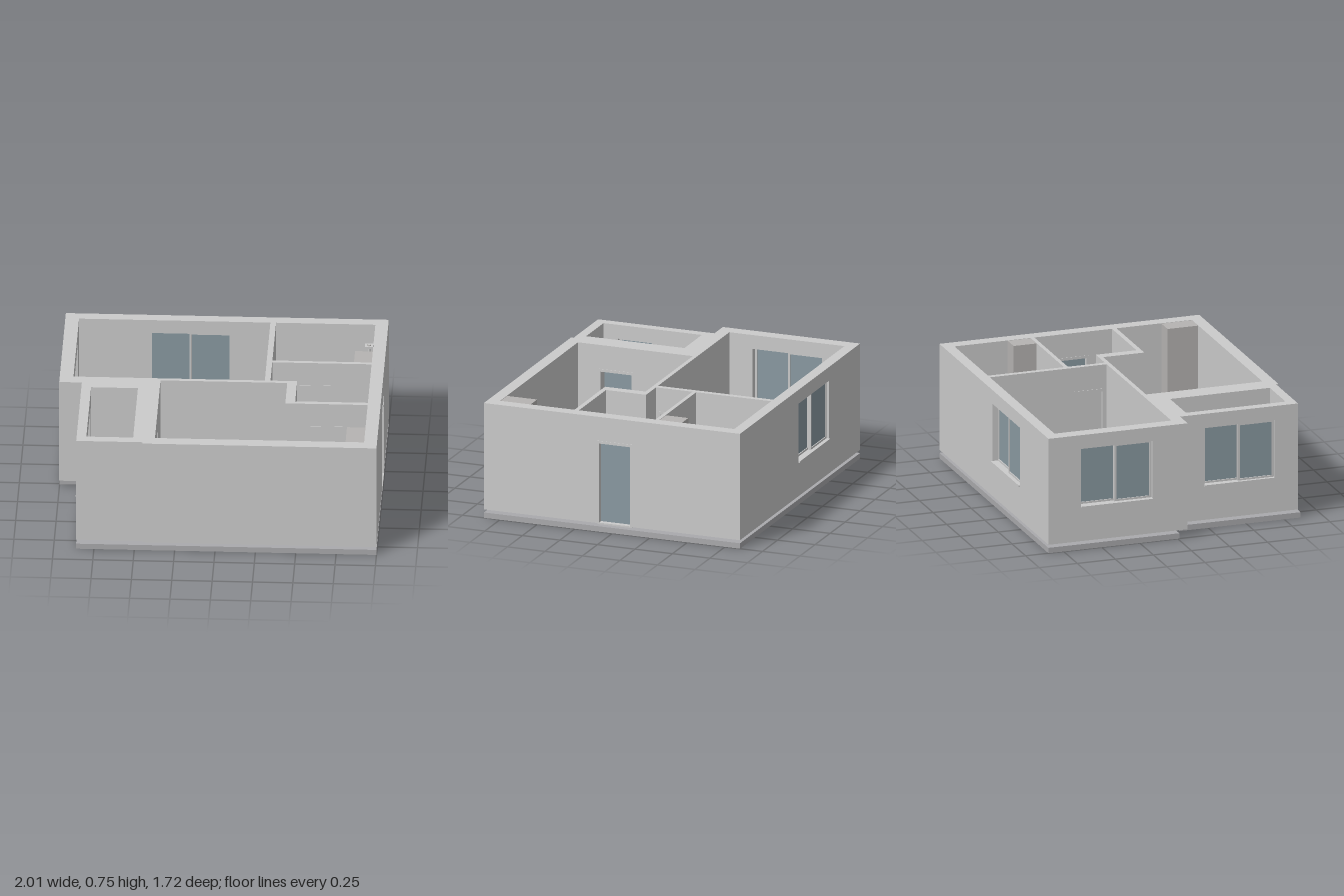
import * as THREE from 'three';

const mat = (color) => new THREE.MeshStandardMaterial({ color, side: THREE.DoubleSide });
const GREY = mat(0xcccccc);
const SLAB = mat(0xaaaaad);
const SHAFT = mat(0xb6b4b2);
const GLASS = mat(0x8a9aa2);
const BASIN = mat(0xbcc6c8);

const BOTTOM = 0.055, TOP = 0.745, DOOR_TOP = 0.585, SILL = 0.28, HEAD = 0.655;

function add(parent, name, geometry, material = GREY) {
  const mesh = new THREE.Mesh(geometry, material);
  mesh.name = name;
  parent.add(mesh);
  return mesh;
}

// Box given by its limits on each axis
function box(parent, name, x0, x1, y0, y1, z0, z1, material) {
  const geometry = new THREE.BoxGeometry(x1 - x0, y1 - y0, z1 - z0);
  geometry.translate((x0 + x1) / 2, (y0 + y1) / 2, (z0 + z1) / 2);
  return add(parent, name, geometry, material);
}

// Plan outline of [x, z] corners raised from y0 to y1
function plan(parent, name, points, y0, y1, material) {
  const shape = new THREE.Shape(points.map(([x, z]) => new THREE.Vector2(x, -z)));
  const geometry = new THREE.ExtrudeGeometry(shape, { depth: y1 - y0, bevelEnabled: false });
  geometry.rotateX(-Math.PI / 2).translate(0, y0, 0);
  return add(parent, name, geometry, material);
}

const rect = (x0, x1, z0, z1) => [[x0, z0], [x1, z0], [x1, z1], [x0, z1]];

// Two-pane window: frame, mullion, glass and sill; c0..c1 is the wall thickness
function windowUnit(parent, a, b, c0, c1) {
  const t = 0.014, mid = (a + b) / 2, c = (c0 + c1) / 2, d = 0.018;
  const g = new THREE.Group();
  g.name = 'window';
  parent.add(g);
  for (const [l, r, s] of [[a, mid + t / 2, -1], [mid - t / 2, b, 1]]) {
    const z0 = c + s * 0.01 - d / 2, z1 = z0 + d;
    box(g, 'windowStile', l, l + t, SILL, HEAD, z0, z1);
    box(g, 'windowStile', r - t, r, SILL, HEAD, z0, z1);
    box(g, 'windowRail', l + t, r - t, HEAD - t, HEAD, z0, z1);
    box(g, 'windowRail', l + t, r - t, SILL, SILL + t, z0, z1);
    box(g, 'windowPane', l + t, r - t, SILL + t, HEAD - t, z0 + 0.006, z1 - 0.006, GLASS);
  }
  box(g, 'windowSill', a, b, SILL - 0.008, SILL + 0.002, c0 - 0.01, c1 + 0.01);
}

// Door: lining as deep as the wall, and a leaf
function doorUnit(parent, a, b, c0, c1, leaf) {
  const t = 0.012, c = (c0 + c1) / 2, z0 = c0 - 0.003, z1 = c1 + 0.003;
  const g = new THREE.Group();
  g.name = 'door';
  parent.add(g);
  box(g, 'doorJamb', a, a + t, 0.05, DOOR_TOP, z0, z1);
  box(g, 'doorJamb', b - t, b, 0.05, DOOR_TOP, z0, z1);
  box(g, 'doorHead', a, b, DOOR_TOP - t, DOOR_TOP + 0.005, z0, z1);
  box(g, 'doorThreshold', a, b, 0.05, 0.06, z0, z1);
  box(g, 'doorLeaf', a + t, b - t, 0.06, DOOR_TOP - t, c - 0.008, c + 0.008, leaf);
}

// Wall running a..b along x (or z), c0..c1 thick, with an optional opening
function wall(parent, axis, a, b, c0, c1, opening) {
  const g = new THREE.Group();
  g.name = 'wall';
  parent.add(g);
  const pts = [[a, BOTTOM]];
  const hole = opening && opening.type === 'window';
  if (opening && !hole) {
    const { from, to } = opening;
    pts.push([from, BOTTOM], [from, DOOR_TOP], [to, DOOR_TOP], [to, BOTTOM]);
  }
  pts.push([b, BOTTOM], [b, TOP], [a, TOP]);
  const v = (list) => list.map((p) => new THREE.Vector2(...p));
  const shape = new THREE.Shape(v(pts));
  if (hole) {
    const { from, to } = opening;
    shape.holes.push(new THREE.Path(v([[from, SILL], [from, HEAD], [to, HEAD], [to, SILL]])));
  }
  // A wall along z is built along x, then turned so its depth runs toward -x
  const [d0, d1] = axis === 'x' ? [c0, c1] : [-c1, -c0];
  const geometry = new THREE.ExtrudeGeometry(shape, { depth: d1 - d0, bevelEnabled: false });
  add(g, 'wallPanel', geometry.translate(0, 0, d0));
  if (hole) windowUnit(g, opening.from, opening.to, d0, d1);
  else if (opening) doorUnit(g, opening.from, opening.to, d0, d1, opening.leaf);
  if (axis === 'z') g.rotation.y = -Math.PI / 2;
}

function bathroom(parent) {
  const g = new THREE.Group();
  g.name = 'bathroomFixtures';
  parent.add(g);
  const oval = (name, r0, r1, h, x, y, z, sx, sz, material) => {
    const m = add(g, name, new THREE.CylinderGeometry(r0, r1, h, 32), material);
    m.position.set(x, y, z);
    m.scale.set(sx, 1, sz);
  };
  // Washbasin
  box(g, 'basinCabinet', 0.48, 0.62, 0.05, 0.25, -0.775, -0.665);
  oval('basinBowl', 1, 0.9, 0.006, 0.55, 0.252, -0.712, 0.055, 0.045, BASIN);
  box(g, 'basinTap', 0.547, 0.553, 0.25, 0.285, -0.763, -0.757);
  box(g, 'basinSpout', 0.547, 0.553, 0.279, 0.285, -0.763, -0.725);
  // Toilet
  box(g, 'toiletTank', 0.65, 0.765, 0.05, 0.26, -0.775, -0.728);
  oval('toiletBowl', 1, 0.65, 0.1, 0.708, 0.1, -0.665, 0.046, 0.068);
  oval('toiletLid', 0.75, 0.75, 0.006, 0.708, 0.152, -0.66, 0.046, 0.068, BASIN);
  // Shower
  box(g, 'showerHead', 0.857, 0.908, 0.6, 0.615, -0.775, -0.732);
  oval('showerPipe', 0.008, 0.008, 0.56, 0.883, 0.34, -0.752, 1, 1);
  oval('showerValve', 0.012, 0.012, 0.006, 0.883, 0.617, -0.752, 1, 1, SHAFT);
}

export function createModel() {
  const model = new THREE.Group();
  model.name = 'apartment';

  // Base slab with a narrow slot beside the balcony
  plan(model, 'baseSlab', [[-1, -0.85], [1, -0.85], [1, 0.857], [-0.86, 0.857], [-0.86, 0.065],
    [-0.45, 0.065], [-0.45, 0.01], [-1, 0.01]], 0, 0.035, SLAB);

  // Room floors
  const floors = [
    ['bedroomFloor', 0xcabeb0, rect(-0.915, 0.27, -0.78, -0.012)],
    ['bathroomFloor', 0xaabcc0, rect(0.305, 0.92, -0.78, -0.28)],
    ['hallFloor', 0xbfc4c4, [[0.305, -0.255], [0.92, -0.255], [0.92, 0.255], [0.47, 0.255],
      [0.47, -0.012], [0.305, -0.012]]],
    ['livingFloor', 0xcfc6b8, [[-0.375, 0.015], [0.41, 0.015], [0.41, 0.285], [0.92, 0.285],
      [0.92, 0.78], [-0.375, 0.78]]],
    ['balconyFloor', 0xb5bebe, rect(-0.8, -0.51, 0.125, 0.78)],
  ];
  for (const [name, color, outline] of floors) plan(model, name, outline, 0.035, 0.05, mat(color));

  const win = (from, to) => ({ type: 'window', from, to });
  const door = (from, to, leaf = GREY) => ({ type: 'door', from, to, leaf });

  // Outer walls
  wall(model, 'x', -1, 1, -0.85, -0.78, win(-0.48, 0.03));
  wall(model, 'z', -0.78, 0.78, 0.92, 1, door(-0.13, 0.1, GLASS));
  wall(model, 'z', -0.78, -0.012, -1, -0.915, win(-0.635, -0.165));
  wall(model, 'x', -0.45, 1, 0.78, 0.857);
  wall(model, 'x', -0.86, -0.45, 0.78, 0.84);
  wall(model, 'z', 0.125, 0.78, -0.86, -0.8, win(0.225, 0.685));
  wall(model, 'x', -1, -0.375, -0.012, 0.065);
  wall(model, 'x', -0.86, -0.375, 0.065, 0.125);

  // Inner walls
  wall(model, 'z', 0.125, 0.78, -0.51, -0.375, door(0.41, 0.64, GLASS));
  wall(model, 'x', -0.375, 0.47, -0.012, 0.015);
  wall(model, 'z', 0.015, 0.285, 0.41, 0.47);
  wall(model, 'x', 0.47, 0.92, 0.255, 0.285, door(0.53, 0.765));
  wall(model, 'z', -0.78, -0.012, 0.27, 0.305, door(-0.225, -0.03));
  wall(model, 'x', 0.305, 0.92, -0.28, -0.255, door(0.475, 0.665));

  // Service shafts
  box(model, 'bathroomShaft', 0.81, 0.92, 0.05, 0.743, -0.43, -0.28, SHAFT);
  box(model, 'livingShaft', 0.805, 0.92, 0.05, 0.743, 0.58, 0.78, SHAFT);

  bathroom(model);
  return model;
}
